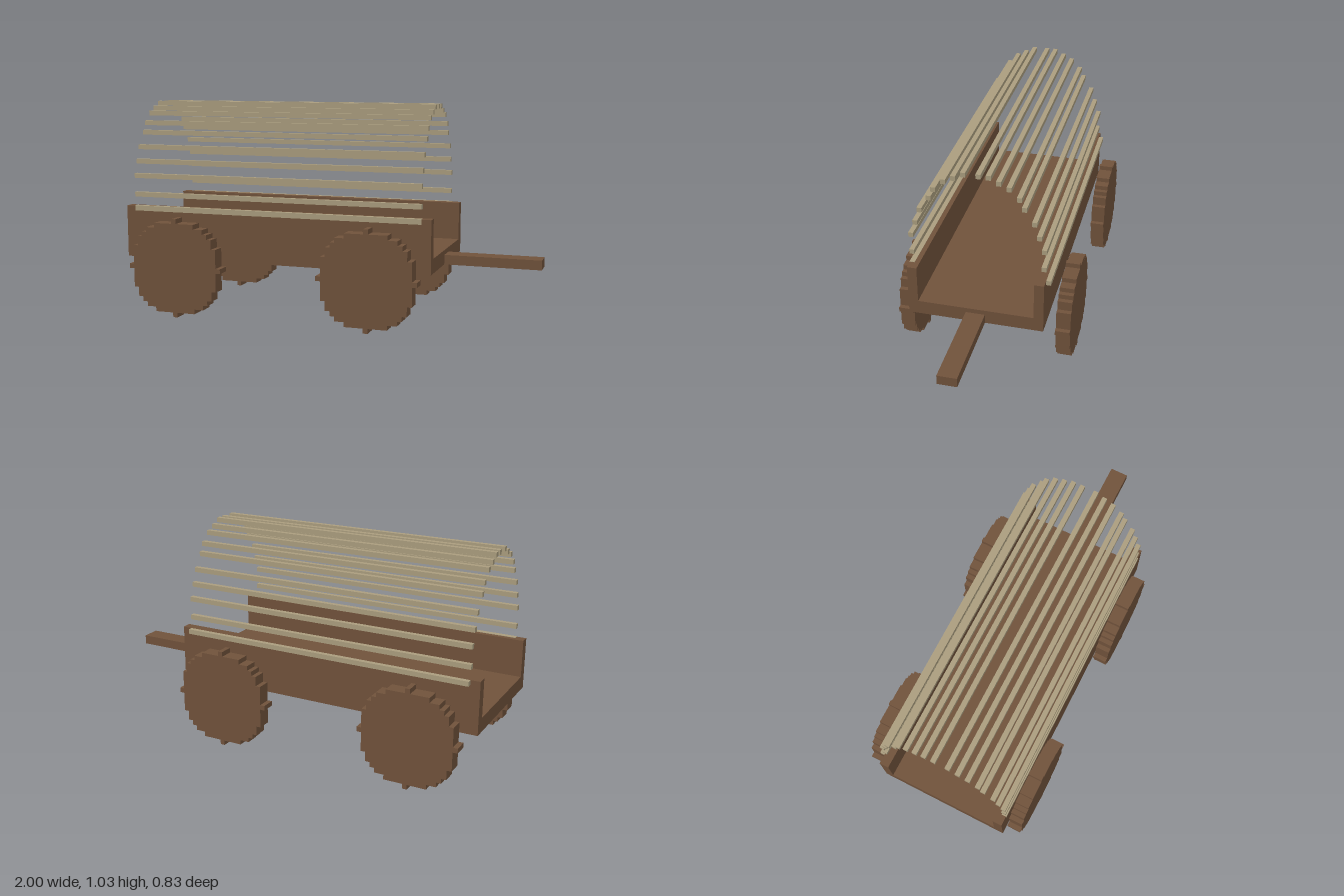
import * as THREE from 'three';

const U = 2 / 87; // one block of the grid; the wagon is 87 blocks long

export function createModel() {
  const wood = new THREE.MeshStandardMaterial({ color: 0x70523b });
  wood.name = 'brown wood';
  const cane = new THREE.MeshStandardMaterial({ color: 0xaa9d7e });
  cane.name = 'pale canvas';

  const wagon = new THREE.Group();
  wagon.name = 'coveredWagon';

  // Box between two grid corners; x counts from the tail end
  function block(name, material, [x0, y0, z0], [x1, y1, z1]) {
    const geo = new THREE.BoxGeometry((x1 - x0) * U, (y1 - y0) * U, (z1 - z0) * U);
    const mesh = new THREE.Mesh(geo, material);
    mesh.name = name;
    mesh.position.set(((x0 + x1) / 2 - 43.5) * U, ((y0 + y1) / 2) * U, ((z0 + z1) / 2) * U);
    wagon.add(mesh);
  }

  // Wagon bed, side walls and draw pole
  block('floor', wood, [0, 12, -11], [67, 15, 13]);
  block('leftWall', wood, [0, 12, 13], [67, 23, 15]);
  block('rightWall', wood, [0, 12, -13], [67, 23, -11]);
  block('drawPole', wood, [67, 12, -1], [87, 14, 3]);

  // Stepped wheel outline: a disc of radius 10 blocks
  const right = [];
  for (let y = -10; y <= 10; y++) {
    const w = Math.floor(Math.sqrt(100 - y * y)) + 0.5;
    right.push([w, y - 0.5], [w, y + 0.5]);
  }
  const left = right.map(([x, y]) => [-x, y]).reverse();
  const outline = [...right, ...left]
    .filter((p, i, a) => i === 0 || p[0] !== a[i - 1][0] || p[1] !== a[i - 1][1])
    .map(([x, y]) => new THREE.Vector2(x * U, y * U));
  const wheelGeo = new THREE.ExtrudeGeometry(new THREE.Shape(outline), {
    depth: 3 * U, bevelEnabled: false,
  });

  for (const [end, x] of [['rear', 12.5], ['front', 54.5]]) {
    for (const [side, z] of [['Left', 15], ['Right', -18]]) {
      const wheel = new THREE.Mesh(wheelGeo, wood);
      wheel.name = `${end}${side}Wheel`;
      wheel.position.set((x - 43.5) * U, 10.5 * U, z * U);
      wagon.add(wheel);
    }
  }

  // Cover slats, arching from the left wall over to the right: [z, y]
  const arch = [
    [14, 25], [14, 29], [13, 32], [12, 35], [10, 38], [9, 40], [7, 42], [5, 43], [3, 44], [0, 44],
    [-2, 44], [-4, 43], [-6, 42], [-8, 40], [-9, 38], [-11, 35], [-12, 32], [-13, 29], [-13, 25], [-14, 22],
  ];
  for (const [z, y] of arch) block('coverSlat', cane, [2, y, z], [65, y + 1, z + 1]);

  // Lowest left slat is let into the wall's top edge, standing just proud of it
  block('coverSlat', cane, [2, 22, 14], [65, 23.08, 15.08]);

  return wagon;
}
